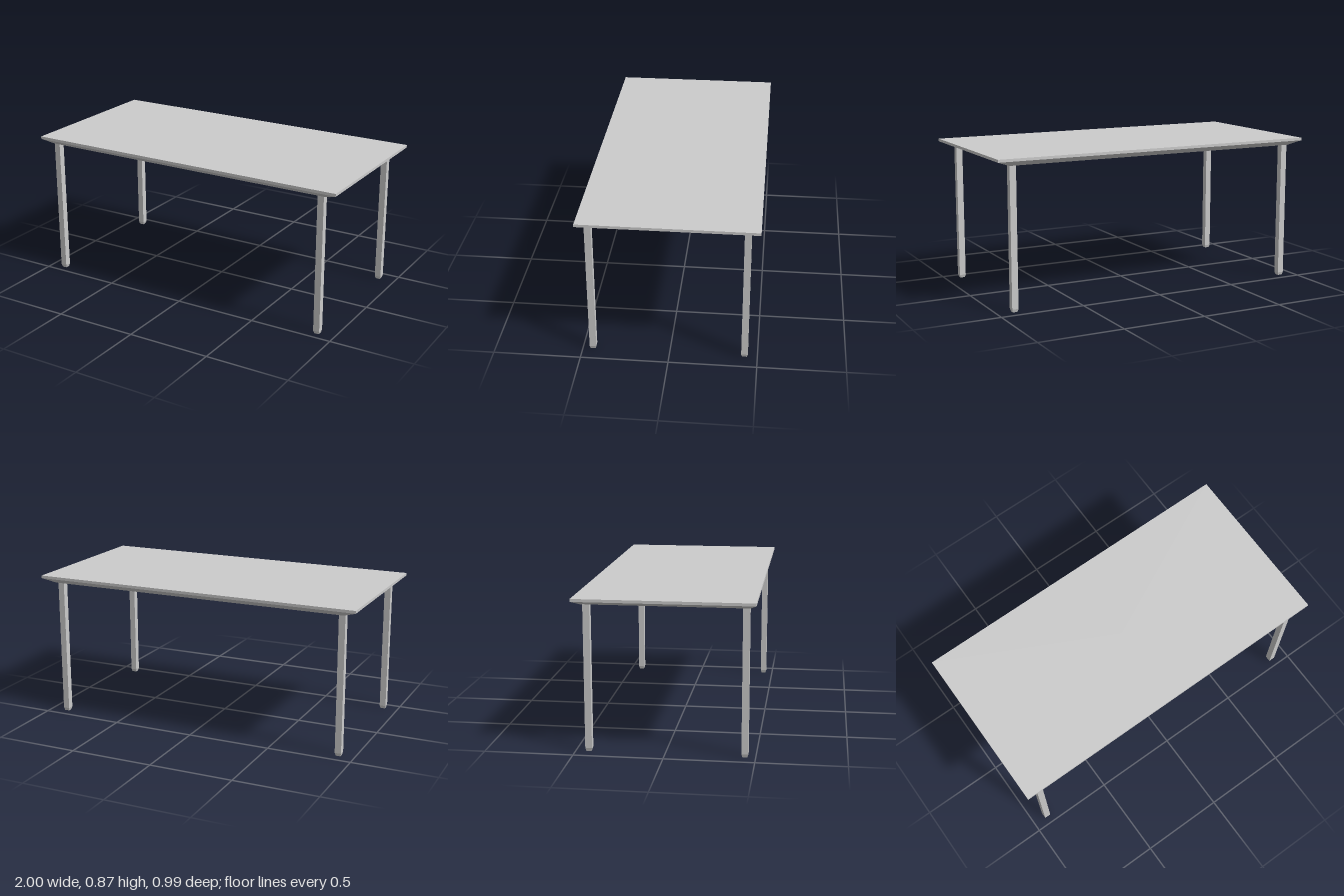
import * as THREE from 'three';

const grey = new THREE.MeshStandardMaterial({ color: 0xcccccc, flatShading: true });

// Joins rectangular rings [halfX, halfZ, y], listed from the top centre along the outside, into faceted walls.
function loftRectangles(rings) {
  const corners = [[1, 1], [1, -1], [-1, -1], [-1, 1]];
  const point = ([hx, hz, y], k) => [corners[k % 4][0] * hx, y, corners[k % 4][1] * hz];
  const positions = [];
  for (let i = 0; i < rings.length - 1; i++) {
    const upper = rings[i], lower = rings[i + 1];
    for (let k = 0; k < 4; k++) {
      const a = point(upper, k), b = point(upper, k + 1);
      const c = point(lower, k), d = point(lower, k + 1);
      if (lower[0] > 0) positions.push(...a, ...c, ...d);
      if (upper[0] > 0) positions.push(...a, ...d, ...b);
    }
  }
  const geometry = new THREE.BufferGeometry();
  geometry.setAttribute('position', new THREE.Float32BufferAttribute(positions, 3));
  geometry.computeVertexNormals();
  return geometry;
}

function addPart(group, name, geometry, x = 0, z = 0) {
  const mesh = new THREE.Mesh(geometry, grey);
  mesh.name = name;
  mesh.position.set(x, 0, z);
  group.add(mesh);
}

export function createModel() {
  const table = new THREE.Group();
  table.name = 'table';

  // Thin-edged top: slanted underside, flat rim and a shallow recess inside the rim
  addPart(table, 'tabletop', loftRectangles([
    [0, 0, 0.874],
    [1, 0.497, 0.874],
    [1, 0.497, 0.858],
    [0.92, 0.46, 0.83],
    [0.857, 0.4, 0.83],
    [0.857, 0.4, 0.862],
    [0, 0, 0.862],
  ]));

  // Square legs with chamfered feet
  const leg = loftRectangles([
    [0, 0, 0.835],
    [0.019, 0.019, 0.835],
    [0.019, 0.019, 0.018],
    [0.014, 0.014, 0],
    [0, 0, 0],
  ]);
  for (const [side, x] of [['Left', 0.895], ['Right', -0.907]]) {
    addPart(table, `front${side}Leg`, leg, x, 0.441);
    addPart(table, `back${side}Leg`, leg, x, -0.427);
  }
  return table;
}
